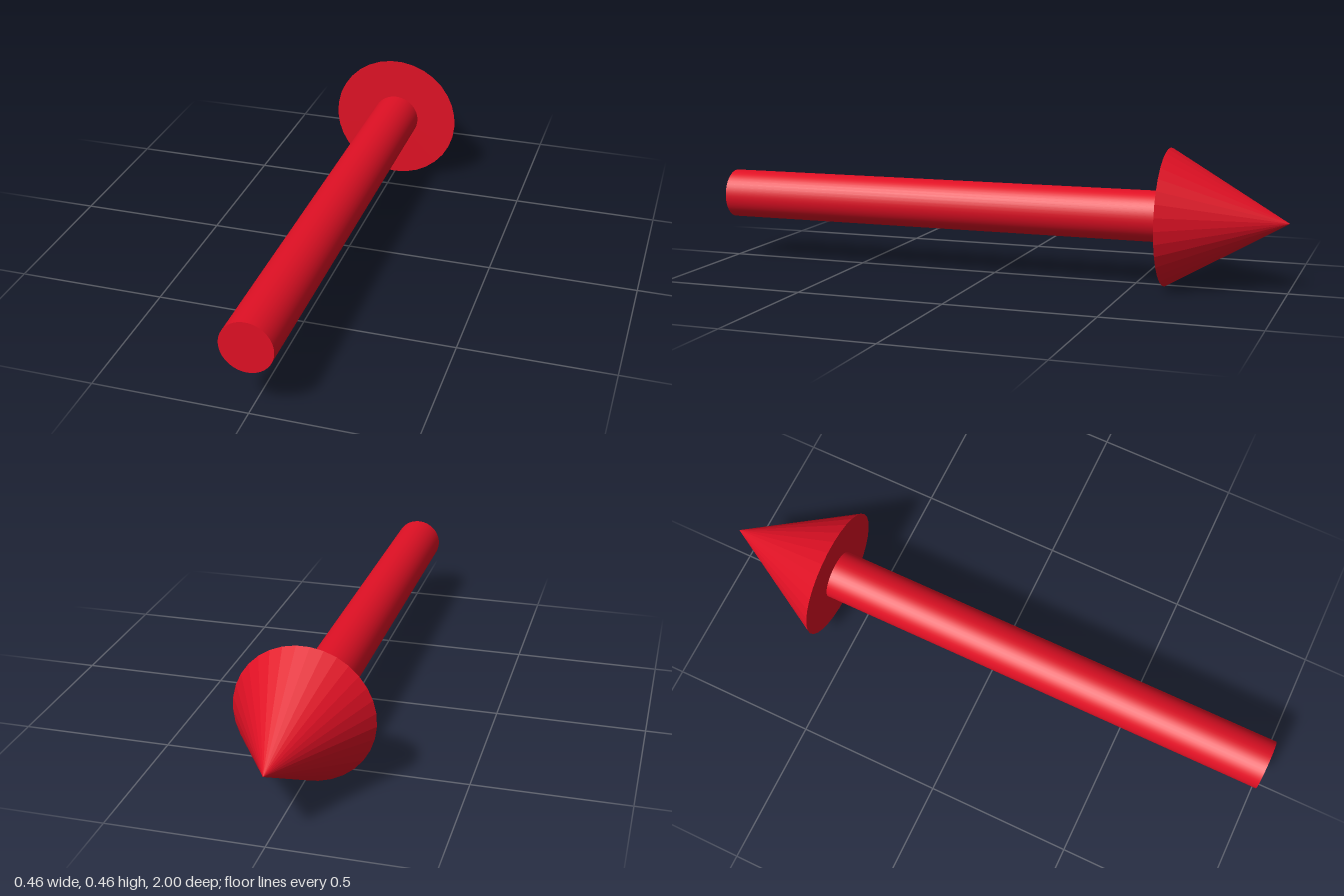
import * as THREE from 'three';

export function createModel() {
  const group = new THREE.Group();
  group.name = 'arrow';
  const headRadius = 0.229, shaftRadius = 0.085, headBase = -0.605;

  // Place a round part along z, its top end pointing to -z
  function addPart(name, geometry, zFront, zBack, flatShading) {
    geometry.rotateX(-Math.PI / 2);
    const material = new THREE.MeshStandardMaterial({ color: 0xe01024, flatShading });
    const mesh = new THREE.Mesh(geometry, material);
    mesh.name = name;
    mesh.position.set(0, headRadius, (zFront + zBack) / 2);
    group.add(mesh);
  }

  // Round shaft, closed at both ends
  addPart('shaft', new THREE.CylinderGeometry(shaftRadius, shaftRadius, 1 - headBase, 48),
    1, headBase, false);

  // Faceted conical head with one corner straight down
  addPart('arrowHead', new THREE.ConeGeometry(headRadius, 1 + headBase, 33, 1, false, Math.PI),
    headBase, -1, true);

  return group;
}
